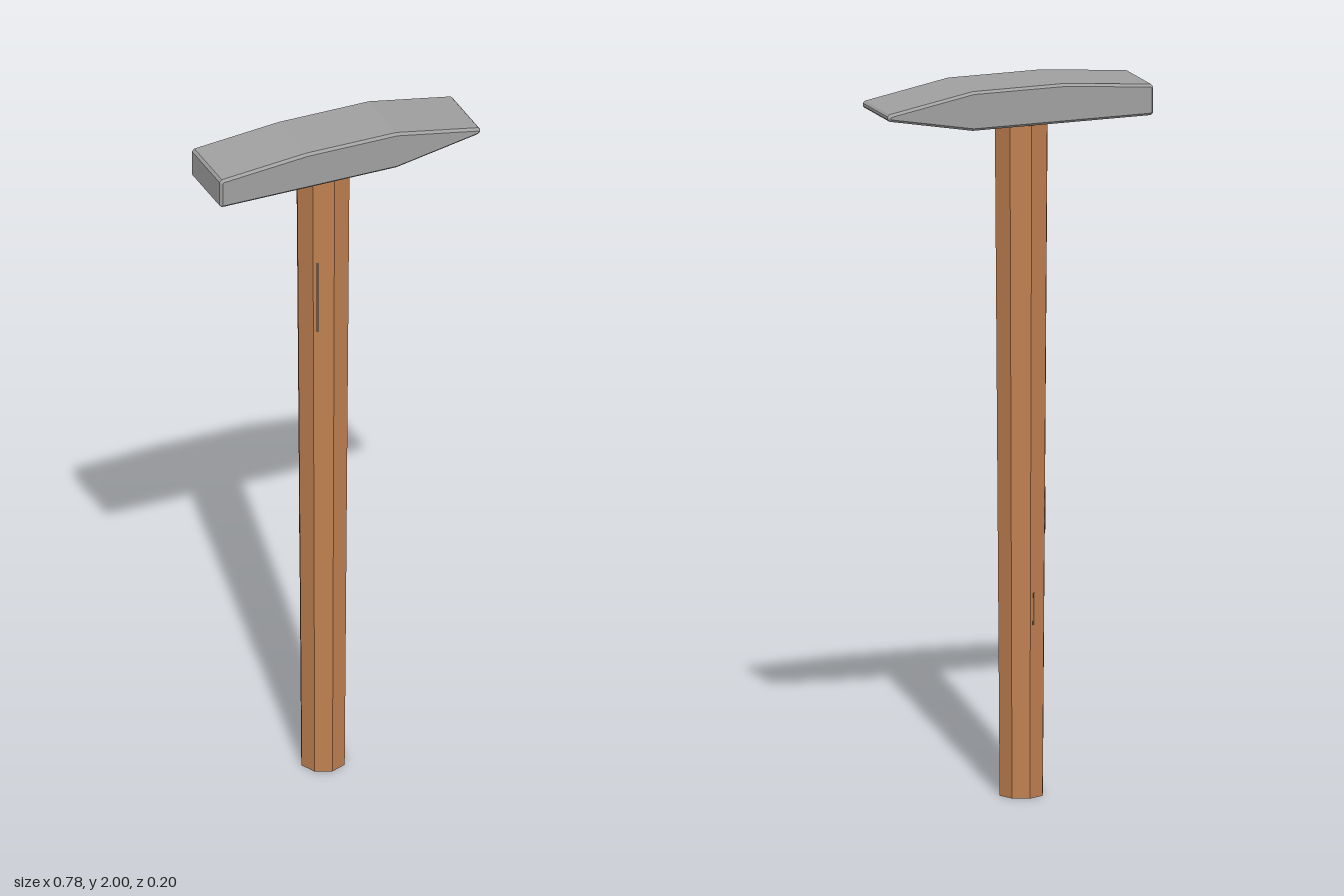
import * as THREE from 'three';

export function createModel() {
  const group = new THREE.Group();
  group.name = 'hammer';
  const material = (name, color) => {
    const m = new THREE.MeshStandardMaterial({ color });
    m.name = name;
    m.flatShading = true;
    return m;
  };
  const wood = material('wood', 0xc08050);
  const steel = material('steel', 0xa0a0a0);
  const grain = material('dark grain', 0x6b5240);
  const add = (name, geometry, mat, parent = group) => {
    const mesh = new THREE.Mesh(geometry, mat);
    mesh.name = name;
    parent.add(mesh);
    return mesh;
  };

  // Tapered octagonal handle, its top sunk into the head
  const bottomR = 0.0635, topR = 0.0775, headBase = 1.89;
  const radiusAt = (y) => bottomR + (topR - bottomR) * y / headBase;
  const handle = new THREE.Group();
  handle.name = 'handle';
  handle.position.set(-0.0375, 0, -0.005);
  group.add(handle);
  const top = 1.93;
  const shaft = new THREE.CylinderGeometry(radiusAt(top), bottomR, top, 8);
  shaft.translate(0, top / 2, 0);
  add('shaft', shaft, wood, handle);

  // Narrow grain marks lying on the handle's facets:
  // [facet angle, sideways offset, height, width, length]
  const marks = [
    [-Math.PI / 8, -0.017, 1.51, 0.008, 0.22],
    [-Math.PI * 5 / 8, 0.02, 0.79, 0.01, 0.13],
    [-Math.PI * 7 / 8, -0.014, 0.53, 0.005, 0.09],
  ];
  for (const [angle, offset, y, width, length] of marks) {
    const pivot = new THREE.Group();
    pivot.name = 'grainMark';
    pivot.rotation.y = angle;
    handle.add(pivot);
    const plate = add('grainPlate', new THREE.BoxGeometry(width, length, 0.003), grain, pivot);
    plate.position.set(offset, y, radiusAt(y) * Math.cos(Math.PI / 8));
    plate.rotation.x = Math.atan((topR - bottomR) / headBase);
  }

  // Head: square striking face at -x, wedge-shaped peen at +x, chamfered edges
  const c = 0.007;
  const profile = new THREE.Shape([
    [-0.39, 1.897], [-0.383, 1.89], [0.14, 1.89],
    [0.384, 1.936], [0.39, 1.942], [0.39, 1.95], [0.384, 1.956],
    [0.14, 2.0], [-0.13, 2.0], [-0.383, 1.977], [-0.39, 1.97],
  ].map(([x, y]) => new THREE.Vector2(x, y)));
  const head = new THREE.ExtrudeGeometry(profile, {
    depth: 0.197 - 2 * c,
    bevelEnabled: true, bevelThickness: c, bevelSize: c, bevelOffset: -c, bevelSegments: 1,
  });
  head.translate(0, 0, -0.1 + c);
  add('head', head, steel);

  return group;
}
